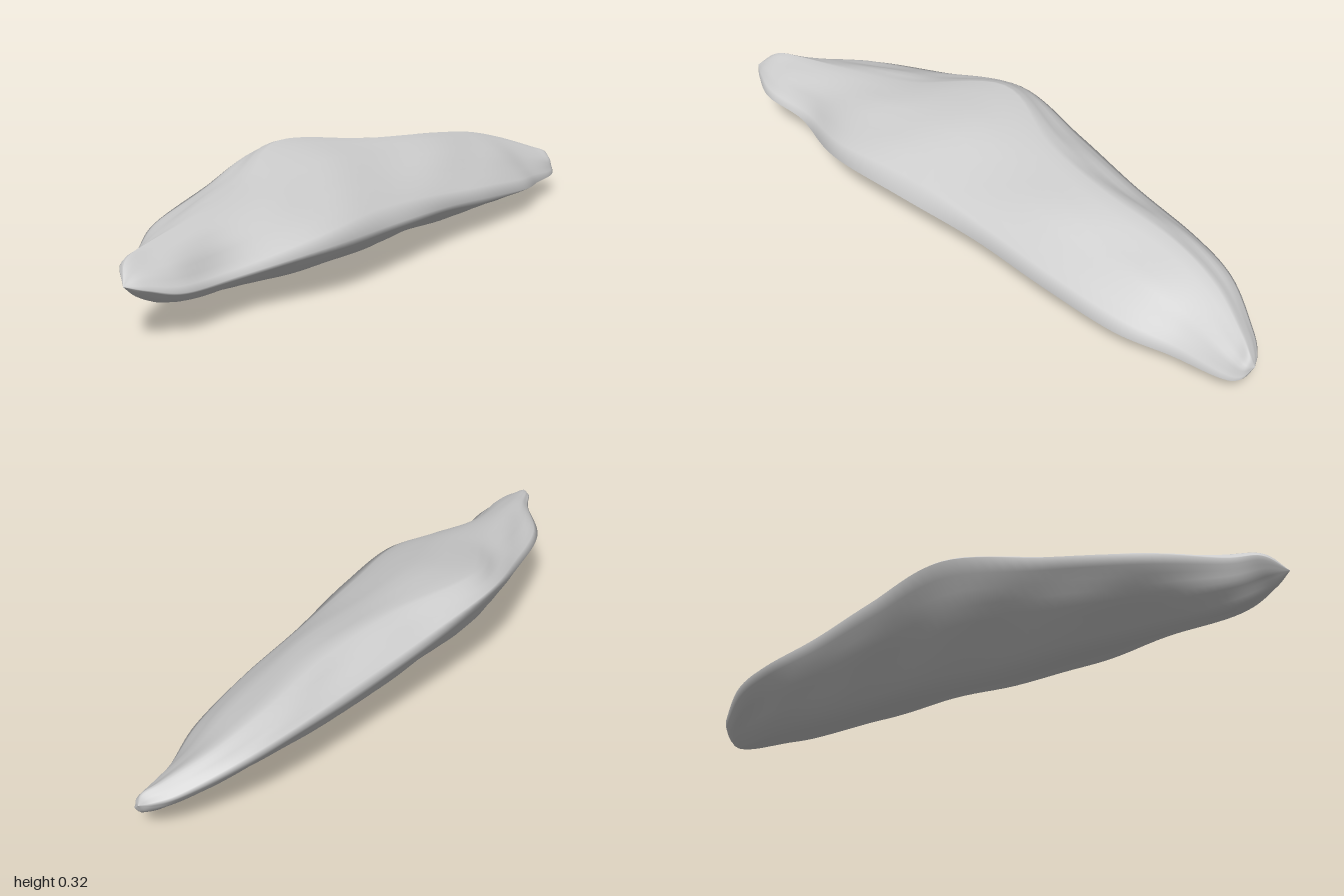
import * as THREE from 'three';

// Long-wise stations: x, then (z, y) of front edge, top ridge, back edge, keel
const STATIONS = [
  [-1, .10, .155, .10, .155, .10, .155, .10, .155],
  [-.95, .135, .14, .055, .20, .035, .185, .09, .115],
  [-.86, .17, .12, .03, .215, -.01, .185, .06, .075],
  [-.68, .178, .12, .0, .235, -.14, .195, .02, .04],
  [-.42, .265, .15, -.06, .265, -.215, .23, -.02, .017],
  [-.13, .26, .147, -.19, .322, -.27, .28, -.03, .002],
  [.15, .237, .13, -.08, .298, -.23, .245, -.02, .02],
  [.4, .235, .11, -.035, .278, -.18, .215, .0, .02],
  [.64, .218, .085, -.03, .247, -.135, .2, .03, .042],
  [.8, .17, .07, .0, .208, -.085, .18, .06, .055],
  [.93, .145, .065, .06, .16, .0, .135, .09, .06],
  [.98, .125, .075, .09, .138, .05, .12, .10, .07],
  [1, .09, .11, .09, .11, .09, .11, .09, .11],
];
const BULGE = [.07, .05, .07, .1];   // outward swell of each side of the section
const STEPS = 96, PER_SIDE = 8;

const bell = (v, centre, width) => Math.exp(-(((v - centre) / width) ** 2));

// Low, uneven chipping of the surface
const chips = (x, s) =>
  .004 * Math.sin(7 * x + 2.1 * s) * Math.cos(4.3 * s - 5 * x) +
  .0025 * Math.sin(17 * x - 3.7 * s + 1);

export function createModel() {
  const group = new THREE.Group();
  group.name = 'stoneShard';

  // Four edges running from end to end
  const edges = [0, 1, 2, 3].map(e => new THREE.CatmullRomCurve3(
    STATIONS.map(r => new THREE.Vector3(r[0], r[2 + e * 2], r[1 + e * 2])),
    false, 'catmullrom', .5));

  const positions = [], indices = [];
  const ring = 4 * PER_SIDE;
  for (let i = 0; i <= STEPS; i++) {
    const corners = edges.map(c => c.getPoint(i / STEPS));
    for (let side = 0; side < 4; side++) {
      const a = corners[side], b = corners[(side + 1) % 4];
      const dy = b.y - a.y, dz = b.z - a.z, len = Math.hypot(dy, dz);
      for (let k = 0; k < PER_SIDE; k++) {
        const t = k / PER_SIDE, arch = 4 * t * (1 - t);
        let out = BULGE[side] * len * arch;
        out += arch * Math.min(1, len * 6) * chips(a.x, side * 1.7 + t * 2);
        // Chipped groove above the front edge, near the right end
        if (side === 0) out -= .022 * bell(a.x, -.68, .16) * bell(t, .2, .15);
        // Outward normal of this side within the section
        const ny = len ? -dz / len : 0, nz = len ? dy / len : 0;
        positions.push(a.x, a.y + dy * t + ny * out, a.z + dz * t + nz * out);
      }
    }
  }
  for (let i = 0; i < STEPS; i++) {
    for (let j = 0; j < ring; j++) {
      const n = (j + 1) % ring;
      const a = i * ring + j, b = i * ring + n, c = a + ring, d = b + ring;
      indices.push(a, c, b, b, c, d);
    }
  }

  const geometry = new THREE.BufferGeometry();
  geometry.setAttribute('position', new THREE.Float32BufferAttribute(positions, 3));
  geometry.setIndex(indices);
  geometry.computeVertexNormals();

  const stone = new THREE.Mesh(geometry, new THREE.MeshStandardMaterial({ color: 0xcccccc }));
  stone.name = 'stone';
  group.add(stone);
  return group;
}
